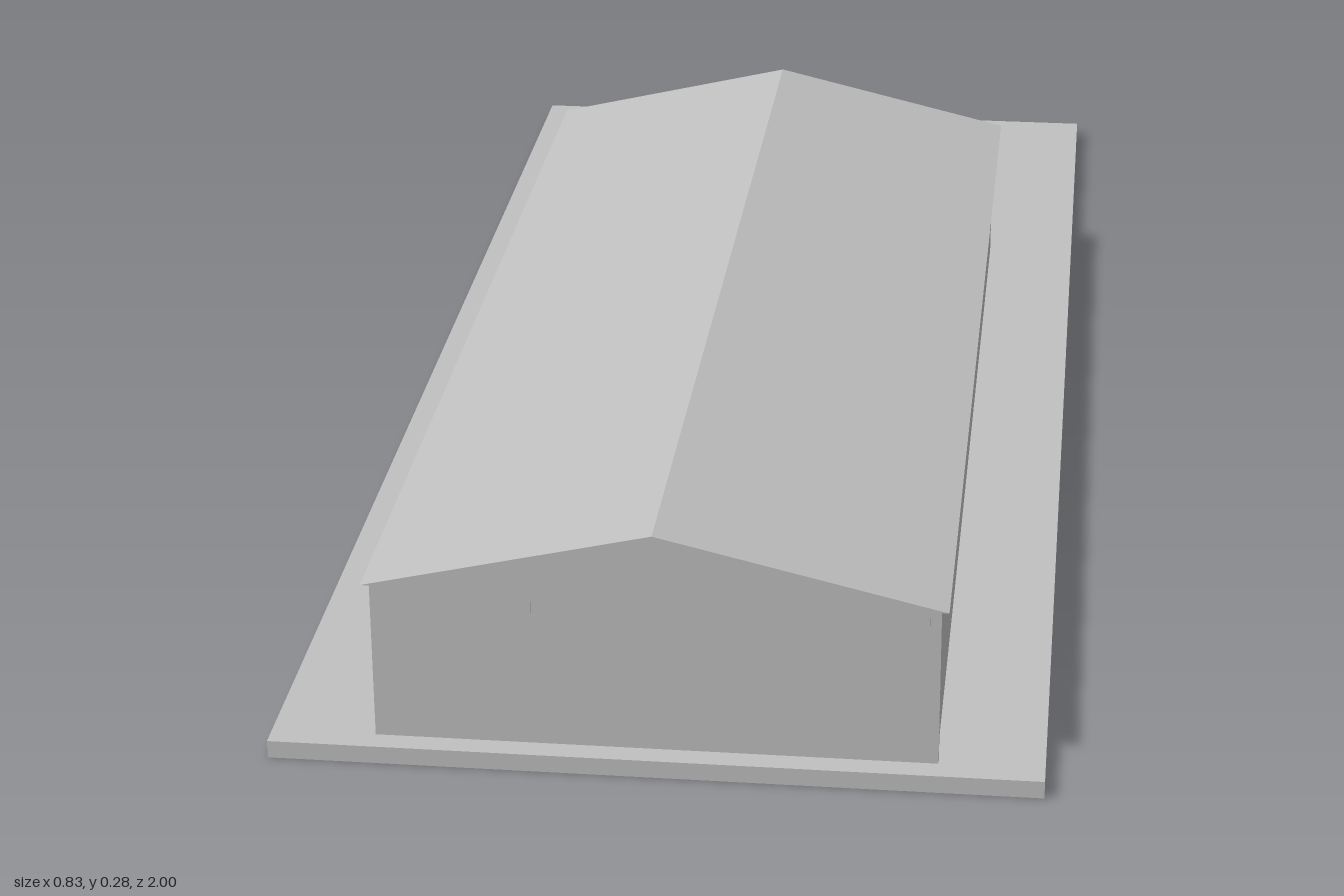
import * as THREE from 'three';

export function createModel() {
  const model = new THREE.Group();
  model.name = 'gabledHall';
  const grey = new THREE.MeshStandardMaterial({ color: 0xc0c0c0 });
  grey.name = 'plain grey';

  const add = (name, geometry) => {
    const mesh = new THREE.Mesh(geometry, grey);
    mesh.name = name;
    model.add(mesh);
    return mesh;
  };
  // Box given by its lower and upper corners
  const block = (name, [x0, y0, z0], [x1, y1, z1]) =>
    add(name, new THREE.BoxGeometry(x1 - x0, y1 - y0, z1 - z0))
      .position.set((x0 + x1) / 2, (y0 + y1) / 2, (z0 + z1) / 2);
  // Outline in x and y, extruded from z0 to z1
  const prism = (name, points, z0, z1) => {
    const shape = new THREE.Shape(points.map(([x, y]) => new THREE.Vector2(x, y)));
    add(name, new THREE.ExtrudeGeometry(shape, { depth: z1 - z0, bevelEnabled: false }))
      .position.z = z0;
  };

  // Ground slab and hall
  block('groundSlab', [-0.415, 0, -1], [0.415, 0.02, 1]);
  block('hallWalls', [-0.3, 0.02, -0.467], [0.3, 0.205, 0.968]);
  block('frontWall', [-0.302, 0.02, 0.966], [0.302, 0.204, 0.974]);

  // Low gabled roof with a small overhang
  prism('gableRoof', [[-0.31, 0.204], [0.31, 0.204], [0, 0.277]], -0.48, 0.982);

  // Stepped trim under the front gable
  prism('frontTrim', [
    [-0.29, 0.178], [-0.13, 0.178], [-0.13, 0.192], [0.13, 0.192],
    [0.13, 0.178], [0.29, 0.178], [0.29, 0.204], [-0.29, 0.204],
  ], 0.973, 0.978);

  return model;
}
